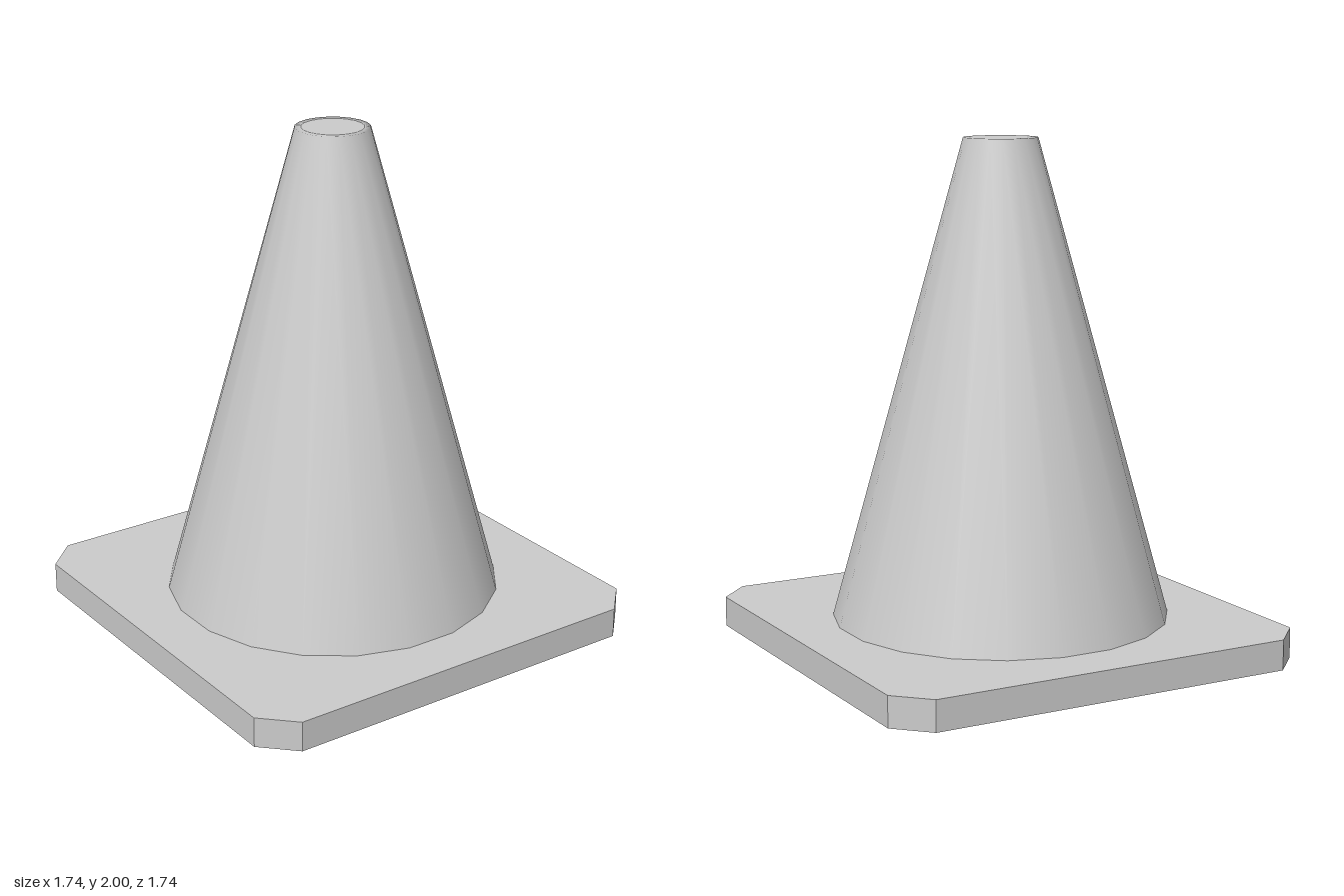
import * as THREE from 'three';
import { toCreasedNormals } from 'three/addons/utils/BufferGeometryUtils.js';

const SIDES = 20;
const START = Math.PI / SIDES; // half a step, so flats face the four sides
const PLATE_TOP = 0.12;
const HOLE_RADIUS = 0.62;

export function createModel() {
  const group = new THREE.Group();
  const material = new THREE.MeshStandardMaterial({ color: 0xcccccc });

  const add = (name, geometry) => {
    const mesh = new THREE.Mesh(geometry, material);
    mesh.name = name;
    group.add(mesh);
    return mesh;
  };

  // Flat disc with the same facets as the cone, facing up or down
  const addDisc = (name, radius, y, facing) => {
    const disc = add(name, new THREE.CircleGeometry(radius, SIDES, START));
    disc.rotation.x = -facing * Math.PI / 2;
    disc.position.y = y;
  };

  // Square base plate with clipped corners and a round opening
  const a = 0.87, b = 0.745;
  const outline = new THREE.Shape([
    [b, -a], [a, -b], [a, b], [b, a], [-b, a], [-a, b], [-a, -b], [-b, -a],
  ].map(([x, y]) => new THREE.Vector2(x, y)));
  const hole = [];
  for (let i = 0; i < SIDES; i++) {
    const t = START - (i * 2 * Math.PI) / SIDES;
    hole.push(new THREE.Vector2(HOLE_RADIUS * Math.cos(t), HOLE_RADIUS * Math.sin(t)));
  }
  outline.holes.push(new THREE.Path(hole));
  const plate = new THREE.ExtrudeGeometry(outline, { depth: PLATE_TOP, bevelEnabled: false });
  plate.rotateX(-Math.PI / 2);
  add('basePlate', toCreasedNormals(plate, 0.5));

  // Tapered body whose shading rolls softly into the top rim
  const profile = [[0.665, PLATE_TOP], [0.145, 2], [0.12, 2]]
    .map(([r, y]) => new THREE.Vector2(r, y));
  add('coneBody', new THREE.LatheGeometry(profile, SIDES, START));

  // Closing discs at the tip and inside the base opening
  addDisc('topCap', 0.12, 2, 1);
  addDisc('bottomCap', HOLE_RADIUS, 0.1, -1);

  return group;
}
